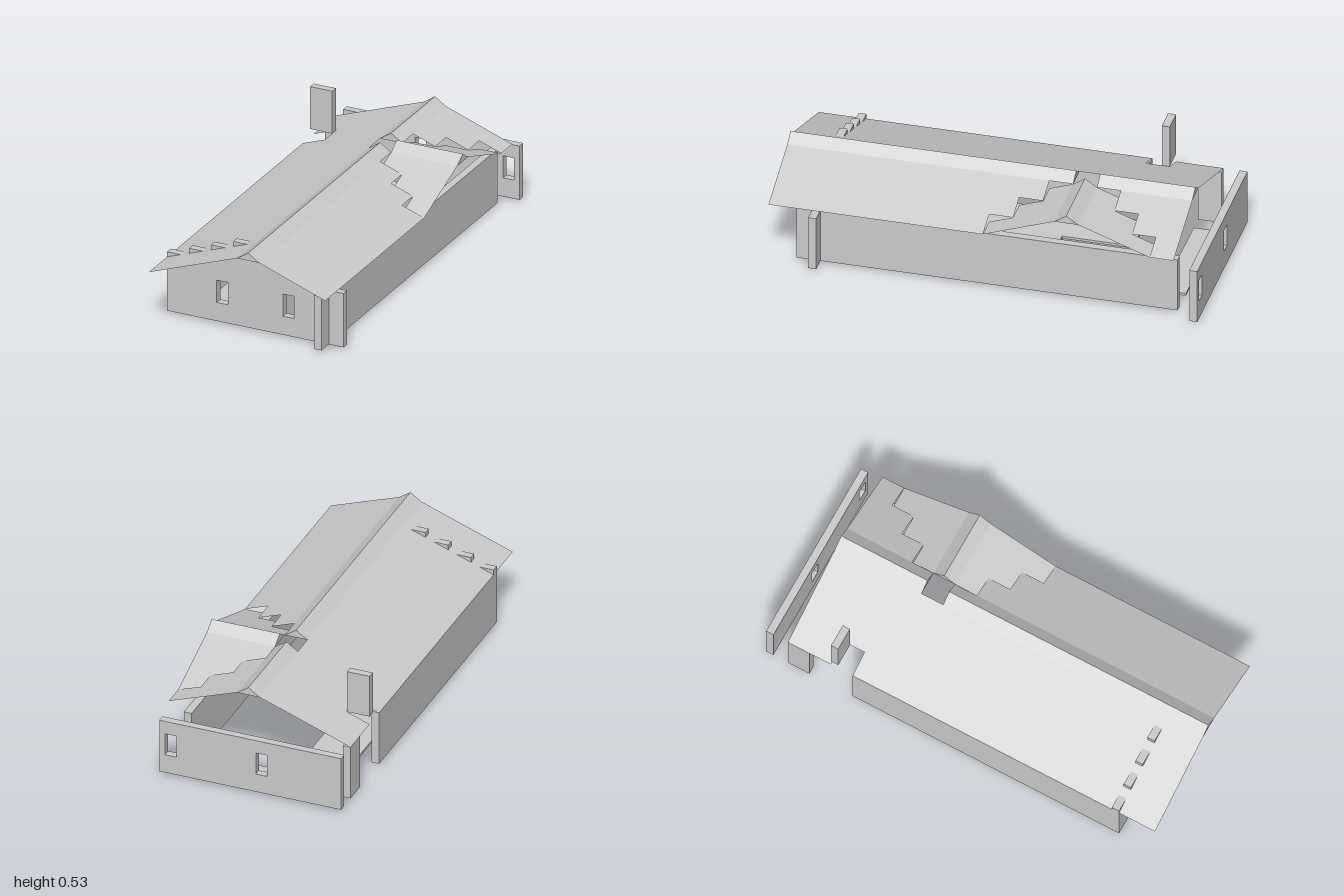
import * as THREE from 'three';

const U = 1 / 9;                 // building grid cell
const T = 0.037;                 // wall thickness
const Y0 = 0.013, EAVE = 0.28;   // wall bottom and top
const DROP = 0.04;               // roof drop per cell

const solid = new THREE.MeshStandardMaterial({ color: 0xcccccc, flatShading: true });
const sheet = new THREE.MeshStandardMaterial({ color: 0xcccccc, flatShading: true, side: THREE.DoubleSide });

export function createModel() {
  const model = new THREE.Group();

  const add = (name, geometry, material = solid) => {
    const mesh = new THREE.Mesh(geometry, material);
    mesh.name = name;
    model.add(mesh);
    return mesh;
  };
  const box = (name, x0, x1, y0, y1, z0, z1) =>
    add(name, new THREE.BoxGeometry(x1 - x0, y1 - y0, z1 - z0))
      .position.set((x0 + x1) / 2, (y0 + y1) / 2, (z0 + z1) / 2);

  // Thin four-cornered roof sheet
  const quad = (name, a, b, c, d) => {
    const g = new THREE.BufferGeometry();
    g.setAttribute('position', new THREE.Float32BufferAttribute([...a, ...b, ...c, ...d], 3));
    g.setIndex([0, 1, 2, 0, 2, 3]);
    g.computeVertexNormals();
    add(name, g, sheet);
  };
  // Sheet sloping along x
  const slopeX = (name, x0, y0, x1, y1, z0, z1) =>
    quad(name, [x0, y0, z1], [x1, y1, z1], [x1, y1, z0], [x0, y0, z0]);

  // Upright wall from an outline, with window holes at the given x centres
  const wall = (name, outline, windows, z) => {
    const shape = new THREE.Shape(outline.map(([x, y]) => new THREE.Vector2(x, y)));
    for (const x of windows) {
      const hole = new THREE.Path();
      hole.moveTo(x - 0.028, 0.105).lineTo(x - 0.028, 0.215);
      hole.lineTo(x + 0.028, 0.215).lineTo(x + 0.028, 0.105).closePath();
      shape.holes.push(hole);
    }
    add(name, new THREE.ExtrudeGeometry(shape, { depth: T, bevelEnabled: false })).position.z = z;
  };

  // Front gable wall with stepped top
  const gable = [[-4 * U, Y0], [4 * U, Y0]];
  for (let i = 3; i >= 0; i--) {
    const y = 0.4 - DROP * i;
    gable.push([(i + 1) * U, y], [i * U, y]);
  }
  for (let i = 0; i < 4; i++) {
    const y = 0.425 - DROP * i;
    gable.push([-i * U, y], [-(i + 1) * U, y]);
  }
  wall('frontGableWall', gable, [-1.5 * U, 1.5 * U], 7 * U);

  // Detached back wall
  wall('backWall', [[-4 * U, Y0], [4 * U, Y0], [4 * U, EAVE], [-4 * U, EAVE]],
    [-0.5 * U, 3.5 * U], -1);

  // Side walls, the right one with a gap towards the back
  box('leftWall', 3 * U, 3 * U + T, Y0, EAVE, -8 * U, 8 * U);
  box('rightWall', -4 * U, -4 * U + T, Y0, EAVE, -5 * U, 7 * U + T);
  box('rightWallBackEnd', -4 * U, -4 * U + T, Y0, EAVE, -8 * U, -7 * U);

  // Floor plates
  const floors = [[-3, 2, -2, 3], [-3, -1, -5, -2], [-3, -2, 3, 6], [-3, 2, -8, -7]];
  for (const [x0, x1, z0, z1] of floors) box('floor', x0 * U, x1 * U, 0.002, 0.014, z0 * U, z1 * U);

  // Chimney slab
  box('chimney', -4 * U, -3 * U, 0.32, 0.53, -6 * U, -6 * U + T);

  // Right roof slope, with an opening in the eave row at the chimney
  slopeX('rightRoof', -3 * U, 0.32, 0, 0.44, -8 * U, 1);
  slopeX('rightRoofEave', -4 * U, 0.28, -3 * U, 0.32, -8 * U, -6 * U);
  slopeX('rightRoofEave', -4 * U, 0.28, -3 * U, 0.32, -5 * U, 1);

  // Left roof slope, stepped back around the cross gable
  for (let i = 1; i <= 3; i++) {
    const y = 0.44 - DROP * (i - 1);
    slopeX('leftRoof', i * U, y, (i + 1) * U, y - DROP, -8 * U, -(4 + i) * U);
    slopeX('leftRoof', i * U, y, (i + 1) * U, y - DROP, (i - 3) * U, 1);
  }

  // Cross gable slopes, one row of cells at a time on both sides
  for (const s of [-1, 1]) {
    for (let j = 1; j <= 3; j++) {
      const y = 0.44 - DROP * (j - 1), zc = -3.5 * U;
      const zi = zc + s * (j - 0.5) * U, zo = zc + s * (j + 0.5) * U;
      const p = [[j * U, y, zi], [j * U, y - DROP, zo], [4 * U, y - DROP, zo], [4 * U, y, zi]];
      if (s < 0) p.reverse();
      quad('crossGableRoof', ...p);
    }
  }

  // Ridge caps: triangular prisms along the main ridge and the cross gable
  const tri = new THREE.Shape([[-U / 2, 0.44], [U / 2, 0.44], [0, 0.478]].map(p => new THREE.Vector2(...p)));
  const cap = (name, length) =>
    add(name, new THREE.ExtrudeGeometry(tri, { depth: length, bevelEnabled: false }));
  cap('ridgeCap', 4 * U).position.set(U / 2, 0, -8 * U);
  cap('ridgeCap', 12 * U).position.set(U / 2, 0, -3 * U);
  const cross = cap('crossGableCap', 3 * U);
  cross.rotation.y = Math.PI / 2;
  cross.position.set(U, 0, -3.5 * U);

  return model;
}
